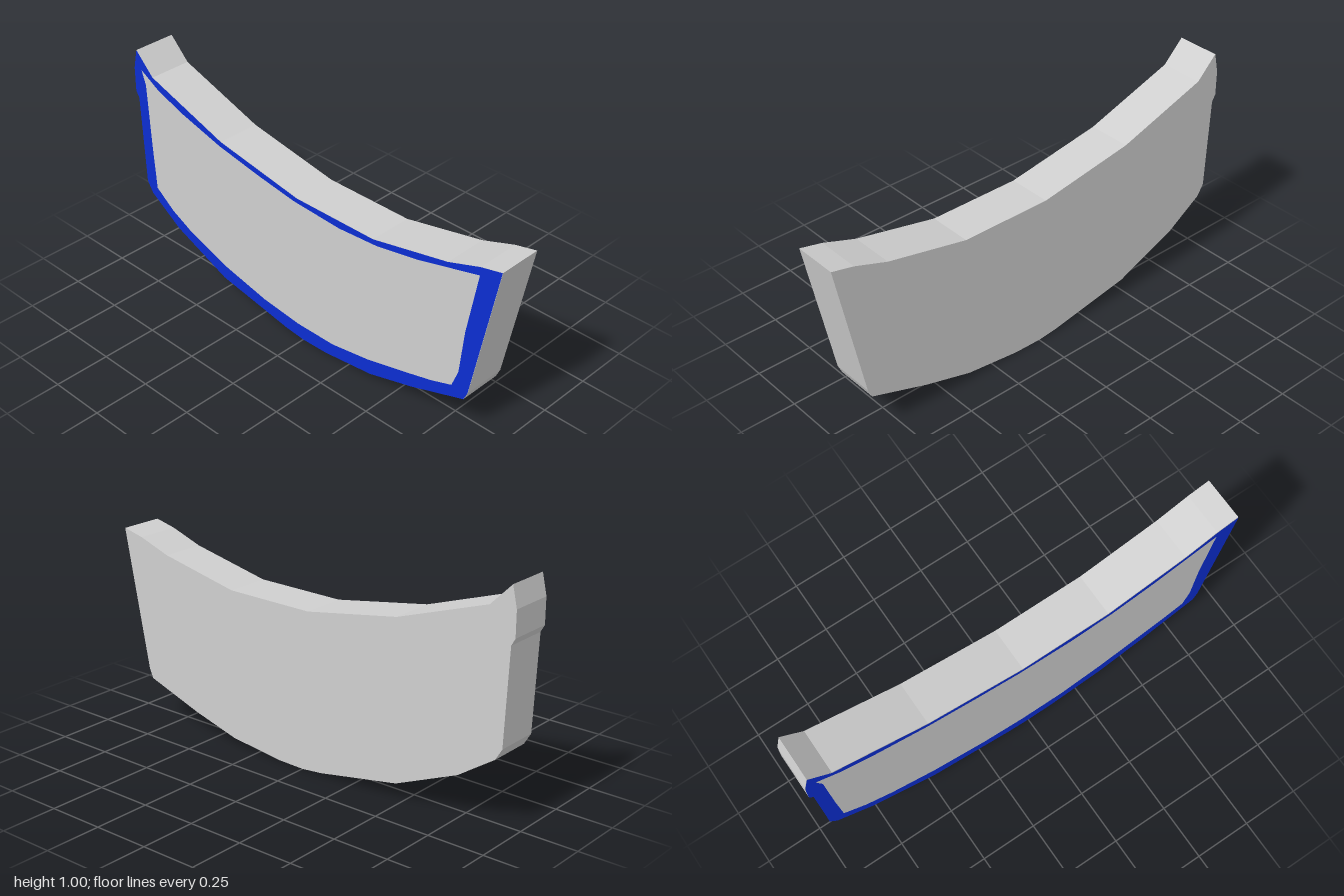
import * as THREE from 'three';

const DEPTH = 0.194;

// Outer silhouette, clockwise from the upper left tip
const OUTLINE = [
  [-0.98, 1], [-0.885, 0.905], [-0.47, 0.765], [-0.03, 0.69], [0.38, 0.692],
  [0.75, 0.77], [0.9, 0.822], [1, 0.845], [0.88, 0.225], [0.862, 0.185], [0.6, 0.095],
  [0.38, 0.033], [0.13, 0.003], [0, 0], [-0.1, 0.01], [-0.48, 0.078], [-0.77, 0.2],
  [-0.935, 0.31], [-0.965, 0.36], [-0.983, 0.77], [-1, 0.8], [-1, 0.91],
];

// Inner edge of the painted border
const INNER = [
  [-0.955, 0.915], [-0.85, 0.855], [-0.7, 0.802], [-0.48, 0.742], [-0.25, 0.7],
  [-0.05, 0.67], [0.2, 0.657], [0.4, 0.67], [0.6, 0.707], [0.9, 0.785], [0.85, 0.5],
  [0.83, 0.3], [0.8, 0.22], [0.7, 0.185], [0.55, 0.145], [0.37, 0.1], [0.17, 0.068],
  [-0.03, 0.068], [-0.23, 0.09], [-0.48, 0.145], [-0.68, 0.215], [-0.8, 0.275],
  [-0.9, 0.35], [-0.915, 0.55], [-0.932, 0.85],
];

const toPoints = (list) => list.map(([x, y]) => new THREE.Vector2(x, y));

export function createModel() {
  const grey = new THREE.MeshStandardMaterial({ color: 0xcfcfcf });
  grey.name = 'light grey';
  const blue = new THREE.MeshStandardMaterial({ color: 0x0c2ed2 });
  blue.name = 'blue';

  const group = new THREE.Group();
  group.name = 'curvedPanel';

  // Solid slab with flat, faceted sides
  const bodyGeometry = new THREE.ExtrudeGeometry(new THREE.Shape(toPoints(OUTLINE)), {
    depth: DEPTH, bevelEnabled: false,
  });
  bodyGeometry.translate(0, 0, -DEPTH / 2);
  const body = new THREE.Mesh(bodyGeometry, grey);
  body.name = 'panelBody';
  group.add(body);

  // Painted border on the front face
  const borderShape = new THREE.Shape(toPoints(OUTLINE));
  borderShape.holes.push(new THREE.Path(toPoints(INNER)));
  const border = new THREE.Mesh(new THREE.ShapeGeometry(borderShape), blue);
  border.position.z = DEPTH / 2 + 0.002;
  border.name = 'frontBorder';
  group.add(border);

  return group;
}
